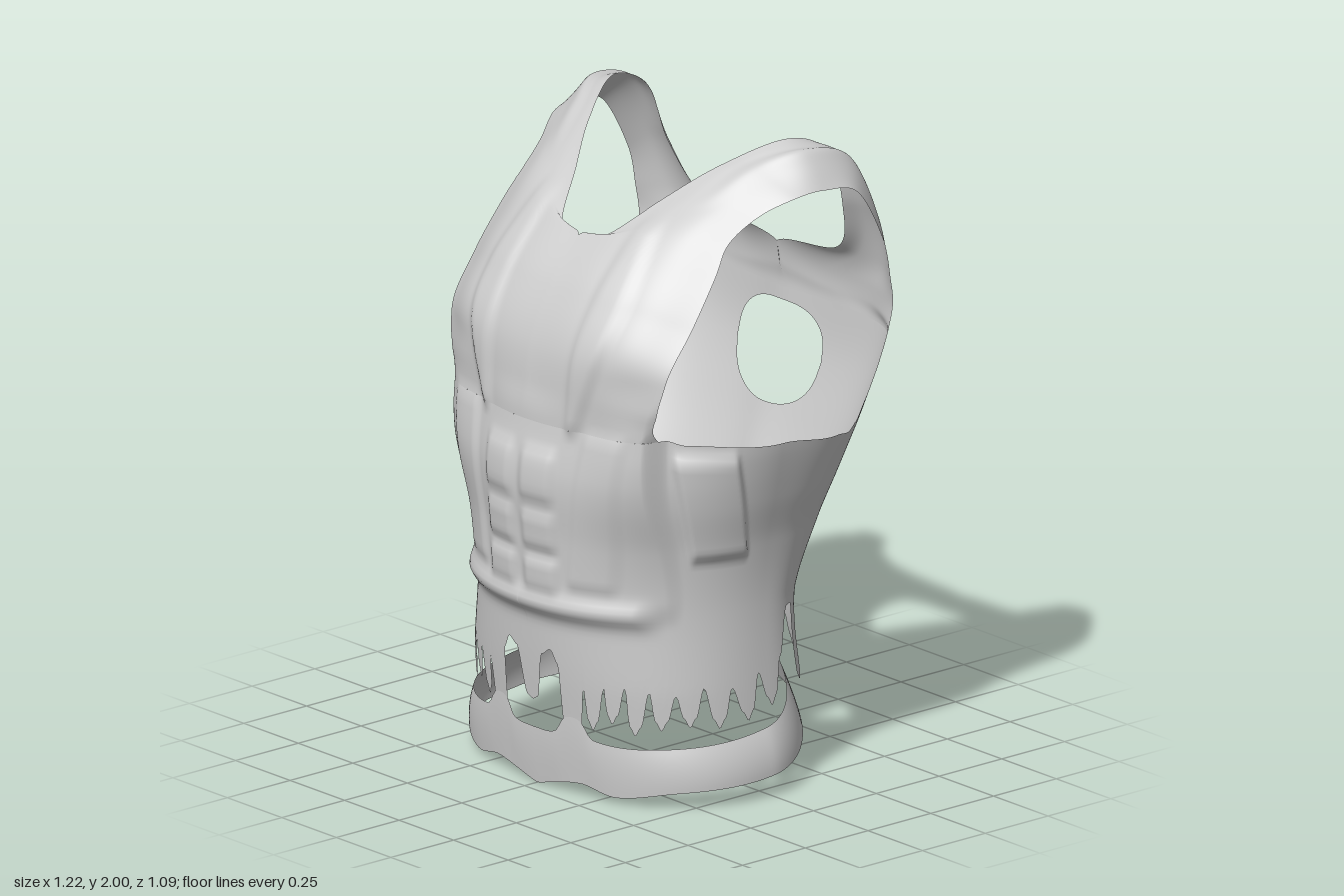
import * as THREE from 'three';
import { mergeVertices, mergeGeometries } from 'three/addons/utils/BufferGeometryUtils.js';

const { lerp, smoothstep } = THREE.MathUtils;
const material = new THREE.MeshStandardMaterial({ color: 0xcccccc, side: THREE.DoubleSide });

// Smooth curve through [t, value] pairs; eased = flat at every point, otherwise a spline.
function table(points, t, eased = false) {
  const last = points.length - 1;
  if (t <= points[0][0]) return points[0][1];
  if (t >= points[last][0]) return points[last][1];
  const i = points.findIndex(p => p[0] > t) - 1;
  const [t0, v0] = points[i], [t1, v1] = points[i + 1], k = (t - t0) / (t1 - t0);
  if (eased) return lerp(v0, v1, k * k * (3 - 2 * k));
  const slope = n => {
    const p = points[Math.max(0, n - 1)], q = points[Math.min(last, n + 1)];
    return (q[1] - p[1]) / (q[0] - p[0]) * (t1 - t0);
  };
  return lerp(v0, v1, k * k * (3 - 2 * k)) + k * (1 - k) * (slope(i) * (1 - k) - slope(i + 1) * k);
}

// Grid surface from a function (i, j) -> [x, y, z].
function grid(cols, rows, point) {
  const pos = [], index = [];
  for (let i = 0; i <= cols; i++)
    for (let j = 0; j <= rows; j++) pos.push(...point(i, j));
  for (let i = 0; i < cols; i++)
    for (let j = 0; j < rows; j++) {
      const a = i * (rows + 1) + j, b = a + rows + 1;
      index.push(a, b, b + 1, a, b + 1, a + 1);
    }
  const g = new THREE.BufferGeometry();
  g.setAttribute('position', new THREE.Float32BufferAttribute(pos, 3));
  g.setIndex(index);
  return g;
}

// Left half plus its mirror image, welded along the middle.
function mirrored(name, halves) {
  const all = [];
  for (const g of halves) {
    const m = g.clone().scale(-1, 1, 1);
    const ix = m.index.array;
    for (let i = 0; i < ix.length; i += 3) [ix[i], ix[i + 1]] = [ix[i + 1], ix[i]];
    all.push(g, m);
  }
  const geo = mergeVertices(mergeGeometries(all), 1e-4);
  geo.computeVertexNormals();
  const mesh = new THREE.Mesh(geo, material);
  mesh.name = name;
  return mesh;
}

// Distance from the axis of a superellipse in direction phi (0 = front).
const polar = (phi, a, d, n) =>
  Math.pow(Math.pow(Math.abs(Math.sin(phi)) / a, n) + Math.pow(Math.abs(Math.cos(phi)) / d, n), -1 / n);

// Soft-edged raised pad.
function pad(x, y, cx, cy, hx, hy, h) {
  const edge = (v, half) => smoothstep(half - Math.abs(v), 0, 0.045);
  return h * edge(x - cx, hx) * edge(y - cy, hy);
}

// Muscle relief of the front plate, whose upper corners stand off the side walls
function relief(x, y) {
  const corner = 0.045 * smoothstep(x, 0.2, 0.44) * smoothstep(y, 0.65, 1.1) * (1 - smoothstep(y, 1.17, 1.36));
  const edge = 0.455 + 0.35 * Math.max(0, y - 1.17);
  let h = (0.015 + corner) * smoothstep(edge - x, 0, 0.025) * smoothstep(y, 0.56, 0.64);
  h += 0.03 * Math.exp(-(((y - 0.595) / 0.035) ** 2)) * smoothstep(0.43 - x, 0, 0.06);
  for (const [cy, hy] of [[1.01, 0.1], [0.835, 0.08], [0.695, 0.07]])
    h += pad(x, y, 0.085, cy, 0.085, hy, 0.015);
  h += pad(x, y, 0.28 + 0.12 * (y - 0.9), 0.92, 0.09, 0.27, 0.01);
  const ribX = table([[1.1, 0.18], [1.5, 0.25], [1.82, 0.23]], y);
  return h + pad(x, y, ribX, 1.48, table([[1.1, 0.03], [1.5, 0.08], [1.82, 0.05]], y), 0.34, 0.016);
}

// Torso cross-sections by height
const sideR = [[0.25, 0.545], [0.6, 0.525], [0.8, 0.54], [0.95, 0.575], [1.1, 0.605], [1.2, 0.615], [1.46, 0.65]];
const frontR = [[0.2, 0.46], [0.4, 0.48], [0.55, 0.49], [0.8, 0.505], [1.0, 0.52], [1.17, 0.492]];
const frontN = [[0.35, 2.3], [0.6, 2.1], [1.05, 1.95]];
const backR = [[0.3, 0.34], [0.45, 0.3], [0.6, 0.305], [0.8, 0.395], [1, 0.47], [1.2, 0.525], [1.42, 0.545]];
const backN = [[0.6, 2.4], [1.1, 3.3], [1.4, 5]];

function body(phi, y) {
  const front = phi < Math.PI / 2;
  let r = polar(phi, table(sideR, y), table(front ? frontR : backR, y), table(front ? frontN : backN, y));
  // raised side pad slanting with height, and the groove of the spine
  r += pad(phi, y, 1.2 - 0.35 * (y - 0.95), 0.945, 0.19, 0.19, 0.02);
  r -= 0.015 * Math.exp(-(((Math.PI - phi) / 0.2) ** 2)) * smoothstep(y, 0.6, 0.9);
  return [Math.max(1e-6, r * Math.sin(phi)), y, r * Math.cos(phi)];
}

function torso(phi, y) {
  const p = body(phi, y);
  if (phi < 1.1) p[2] += relief(p[0], y);
  return p;
}

// Upper edge: armhole bottom at the sides
const CHEST_Y = 1.17, BACK_Y = 1.36, CHEST_PHI = 0.93;
const topEdge = [[0, CHEST_Y], [CHEST_PHI, CHEST_Y], [1.05, 1.155], [1.57, 1.13], [1.95, 1.1], [2.06, 1.09],
  [2.12, 1.11], [2.19, 1.18], [2.225, 1.27], [2.237, BACK_Y], [3.2, BACK_Y]];

// Hem: front arches and pillar, then a row of drips, then long drips under the back
const hem = [[0, 0.27], [0.05, 0.28], [0.12, 0.43], [0.19, 0.45], [0.25, 0.41], [0.28, 0.18], [0.41, 0.18], [0.44, 0.35]];
for (const [phi, tip, root] of [[0.5, 0.22, 0.36], [0.63, 0.25, 0.37], [0.77, 0.22, 0.36], [0.92, 0.24, 0.35],
  [1.08, 0.25, 0.37], [1.25, 0.24, 0.36], [1.43, 0.25, 0.39], [1.6, 0.28, 0.42]])
  hem.push([phi - 0.035, tip + 0.03], [phi, tip], [phi + 0.035, tip + 0.03], [phi + 0.08, root]);
hem.push([1.77, 0.57], [1.82, 0.57], [1.86, 0.34], [1.89, 0.32], [1.92, 0.34], [1.97, 0.56], [2.1, 0.57],
  [2.15, 0.34], [2.2, 0.32], [2.27, 0.57], [2.5, 0.58], [2.57, 0.4], [2.61, 0.4], [2.68, 0.58], [3.14, 0.6]);

function torsoHalf() {
  const cols = 320;
  const band = (rows, low, high) => grid(cols, rows, (i, j) => {
    const phi = Math.PI * i / cols;
    const p = torso(phi, lerp(low(phi), high(phi), j / rows));
    if (i === 0 || i === cols) p[0] = 0;
    return p;
  });
  const waist = phi => table([[1.62, 0.5], [1.76, 0.605]], phi);
  const middle = phi => table([[2.24, 0.85], [2.6, 1.165]], phi);
  // rounded opening in the middle of the back
  const gap = phi => 0.155 * Math.pow(1 - Math.pow(Math.min(1, (Math.PI - phi) / 0.35), 2.6), 1 / 2.6);
  return [
    band(8, phi => table(hem, phi, true), waist),
    band(22, waist, phi => middle(phi) - gap(phi)),
    band(14, phi => middle(phi) + gap(phi), phi => table(topEdge, phi, true)),
  ];
}

// Chest, shoulder strap and upper back: four guide curves, from neck side to armhole side
const guides = [
  [body(0, CHEST_Y), [0, 1.4, 0.46], [0, 1.57, 0.38], [0, 1.7, 0.27], [0.1, 1.72, 0.25], [0.2, 1.83, 0.12],
    [0.3, 1.93, -0.02], [0.4, 2, -0.2], [0.41, 1.93, -0.35], [0.4, 1.74, -0.42], [0.3, 1.57, -0.485],
    [0, 1.51, -0.505], body(Math.PI, BACK_Y)],
  [body(0.34, CHEST_Y), [0.17, 1.4, 0.455], [0.17, 1.57, 0.375], [0.16, 1.7, 0.27], [0.23, 1.77, 0.19], [0.3, 1.85, 0.09],
    [0.36, 1.94, -0.05], [0.45, 1.985, -0.2], [0.46, 1.93, -0.37], [0.45, 1.74, -0.455], [0.38, 1.57, -0.51],
    [0.2, 1.46, -0.535], body(2.78, BACK_Y)],
  [body(0.64, CHEST_Y), [0.34, 1.4, 0.425], [0.35, 1.56, 0.335], [0.34, 1.68, 0.245], [0.36, 1.78, 0.145], [0.4, 1.85, 0.05],
    [0.45, 1.92, -0.07], [0.51, 1.96, -0.2], [0.52, 1.91, -0.36], [0.52, 1.73, -0.455], [0.48, 1.56, -0.505],
    [0.4, 1.46, -0.527], body(2.5, BACK_Y)],
  [body(CHEST_PHI, CHEST_Y), [0.49, 1.36, 0.35], [0.5, 1.52, 0.25], [0.49, 1.66, 0.15], [0.475, 1.75, 0.085], [0.5, 1.82, 0],
    [0.555, 1.87, -0.1], [0.575, 1.88, -0.2], [0.585, 1.85, -0.32], [0.585, 1.68, -0.42], [0.585, 1.55, -0.45],
    [0.582, 1.46, -0.462], body(2.237, BACK_Y)],
].map(g => new THREE.CatmullRomCurve3(g.map(p => new THREE.Vector3(...p)), false, 'catmullrom'));

function strapHalf() {
  const cols = 40, rows = 144;
  const sections = Array.from({ length: rows + 1 }, (_, j) =>
    new THREE.CatmullRomCurve3(guides.map(g => g.getPoint(j / rows)), false, 'catmullrom'));
  return grid(cols, rows, (i, j) => {
    const p = sections[j].getPoint(i / cols), t = j / rows;
    // both ends settle exactly onto the torso shell
    const settle = 1 - smoothstep(Math.min(t, 1 - t), 0, 0.04);
    p.lerp(new THREE.Vector3(...body(Math.atan2(Math.max(0, p.x), p.z), p.y)), settle);
    const onMiddle = i === 0 && (t <= 0.25 || t >= 11 / 12);
    const front = 1 - smoothstep(t, 0.3, 0.42);
    // soft fold running over the shoulder
    const fold = 0.012 * Math.exp(-(((i / cols - 0.55) / 0.12) ** 2))
      * smoothstep(t, 0.38, 0.5) * (1 - smoothstep(t, 0.62, 0.75));
    const x = onMiddle ? 0 : Math.max(0, p.x);
    return [x, p.y + fold, p.z + front * relief(x, p.y)];
  });
}

// Waist belt, flared downward, narrowing and rising toward the back
const beltBottom = [[0, 0], [0.4, 0.04], [0.65, 0.02], [1, 0.05], [1.57, 0.07], [2.2, 0.13], [2.6, 0.18], [3.14, 0.21]];
const beltTop = [[0, 0.18], [0.2, 0.19], [0.28, 0.24], [0.41, 0.24], [0.5, 0.19], [1, 0.185], [1.57, 0.21],
  [2.2, 0.29], [2.6, 0.34], [3.14, 0.36]];

function beltHalf() {
  const cols = 120, rows = 10;
  return grid(cols, rows, (i, j) => {
    const phi = Math.PI * i / cols, k = j / rows, front = phi < Math.PI / 2;
    const y = lerp(table(beltBottom, phi), table(beltTop, phi), k);
    const d = front ? 0.45 + 0.012 * Math.sin(k * Math.PI / 2) : 0.41 - 0.07 * k;
    const r = polar(phi, 0.575 - 0.04 * k * k, d, front ? 2.5 : 1.7);
    return [i === 0 || i === cols ? 0 : r * Math.sin(phi), y, r * Math.cos(phi)];
  });
}

export function createModel() {
  const model = new THREE.Group();
  model.name = 'torsoArmour';
  model.add(
    mirrored('torsoShell', torsoHalf()),
    mirrored('chestAndStraps', [strapHalf()]),
    mirrored('waistBelt', [beltHalf()]),
  );
  return model;
}
